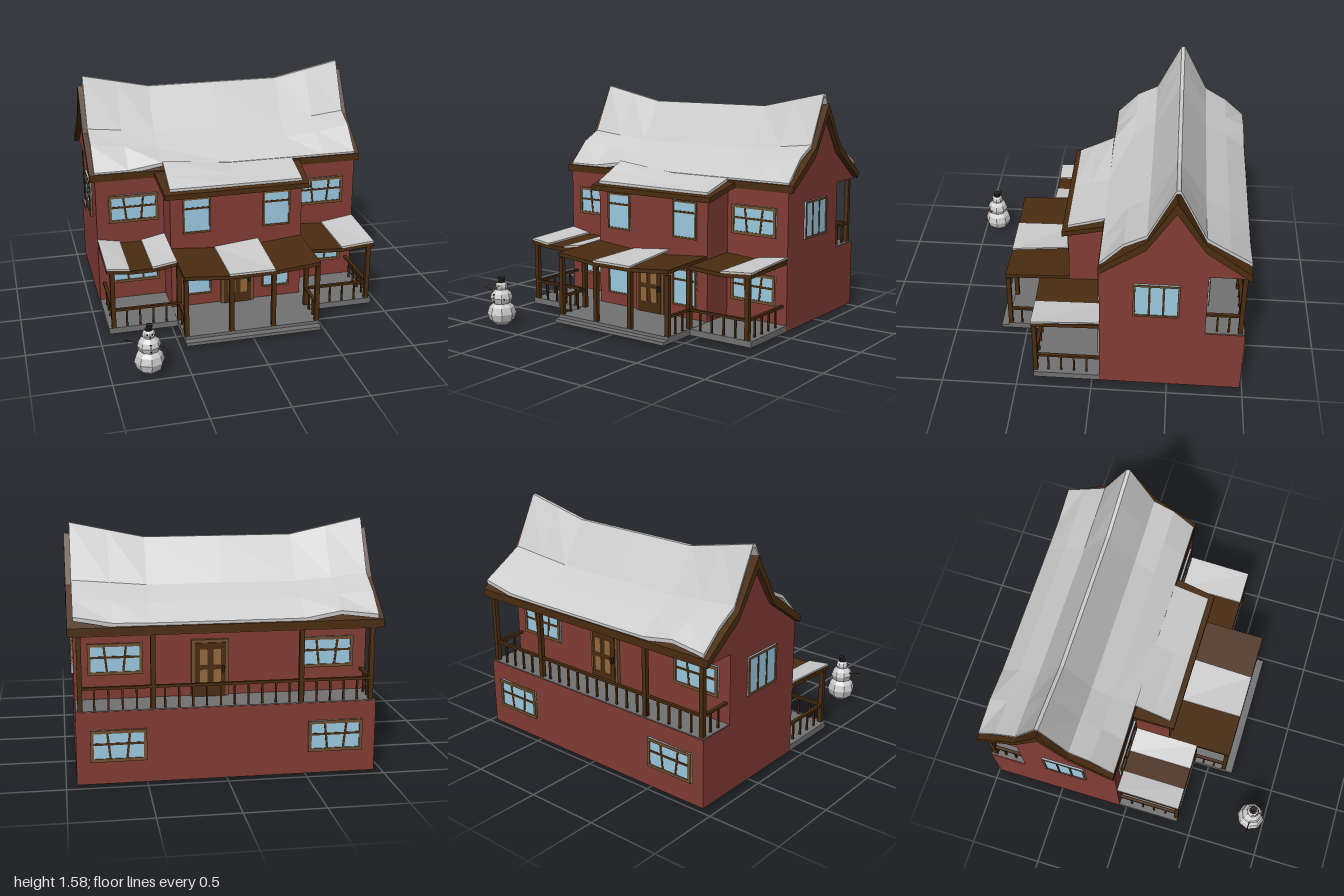
import * as THREE from 'three';

const RED = 0x823c34, BROWN = 0x4a2c10, FRAME = 0x705030, TAN = 0x94683c, GLASS = 0x9ccae2, STONE = 0x727272, SNOW = 0xcccccc, BLACK = 0x2a2522;
const mats = {};
const mat = c => mats[c] ??= new THREE.MeshStandardMaterial({ color: c, flatShading: true });

function add(parent, name, geo, color, x = 0, y = 0, z = 0) {
  const m = new THREE.Mesh(geo, mat(color));
  m.name = name;
  m.position.set(x, y, z);
  parent.add(m);
  return m;
}

// box given by its limits
function box(parent, name, color, x0, x1, y0, y1, z0, z1) {
  return add(parent, name, new THREE.BoxGeometry(x1 - x0, y1 - y0, z1 - z0), color, (x0 + x1) / 2, (y0 + y1) / 2, (z0 + z1) / 2);
}

// (z, y) profile extruded along x from x0 to x1
function profile(parent, name, color, pts, x0, x1) {
  const shape = new THREE.Shape(pts.map(p => new THREE.Vector2(...p)));
  const geo = new THREE.ExtrudeGeometry(shape, { depth: x1 - x0, bevelEnabled: false });
  return add(parent, name, geo.rotateY(-Math.PI / 2), color, x1);
}

// closed slab over a grid: f(i, j) gives the top point, t(j) the vertical thickness
function slab(parent, name, color, nx, nz, f, t) {
  const pos = [], idx = [], n = (nx + 1) * (nz + 1), at = (i, j) => j * (nx + 1) + i;
  for (const k of [0, 1]) for (let j = 0; j <= nz; j++) for (let i = 0; i <= nx; i++) {
    const [x, y, z] = f(i, j);
    pos.push(x, y - k * t(j), z);
  }
  const quad = (a, b, c, d) => idx.push(a, b, c, a, c, d);
  const side = (a, b) => quad(a, b, b + n, a + n);
  for (let j = 0; j < nz; j++) for (let i = 0; i < nx; i++) {
    const a = at(i, j), b = at(i, j + 1), c = at(i + 1, j + 1), d = at(i + 1, j);
    quad(a, b, c, d);
    quad(d + n, c + n, b + n, a + n);
    if (j === 0) side(a, d);
    if (j === nz - 1) side(c, b);
    if (i === 0) side(b, a);
    if (i === nx - 1) side(d, c);
  }
  const geo = new THREE.BufferGeometry();
  geo.setAttribute('position', new THREE.Float32BufferAttribute(pos, 3));
  geo.setIndex(idx);
  geo.computeVertexNormals();
  return add(parent, name, geo, color);
}

// framed window facing +z; cols = [x, lean] bars, rows = bar heights
function windowUnit(parent, name, w, h, f, cols, rows, x, y, z, turn = 0) {
  const g = new THREE.Group();
  g.name = name;
  box(g, 'glass', GLASS, -w / 2, w / 2, -h / 2, h / 2, -0.005, 0.005);
  for (const s of [-1, 1]) {
    add(g, 'frameSide', new THREE.BoxGeometry(f, h, 0.024), FRAME, s * (w - f) / 2);
    add(g, 'frameRail', new THREE.BoxGeometry(w - 2 * f, f, 0.024), FRAME, 0, s * (h - f) / 2);
  }
  for (const [cx, lean] of cols) add(g, 'mullion', new THREE.BoxGeometry(0.014, h - f, 0.016), BROWN, cx).rotation.z = lean;
  for (const ry of rows) add(g, 'crossbar', new THREE.BoxGeometry(w - f, 0.014, 0.016), BROWN, 0, ry);
  g.position.set(x, y, z);
  g.rotation.y = turn;
  parent.add(g);
}

// panelled door facing +z
function door(parent, name, x, y, z, turn) {
  const g = new THREE.Group();
  g.name = name;
  box(g, 'doorFrame', FRAME, -0.118, 0.118, 0, 0.37, -0.01, 0.025);
  box(g, 'doorLeaf', BROWN, -0.098, 0.098, 0, 0.35, 0, 0.032);
  for (const s of [-1, 1]) for (const py of [0.13, 0.26])
    add(g, 'doorPanel', new THREE.BoxGeometry(0.048, 0.1, 0.01), TAN, s * 0.043, py, 0.033);
  box(g, 'handle', BLACK, 0.074, 0.09, 0.16, 0.2, 0.03, 0.05);
  g.position.set(x, y, z);
  g.rotation.y = turn;
  parent.add(g);
}

// straight railing between two (x, z) points
function railing(parent, name, x0, z0, x1, z1, y, h) {
  const g = new THREE.Group(), len = Math.hypot(x1 - x0, z1 - z0), n = Math.round(len / 0.085);
  g.name = name;
  add(g, 'handrail', new THREE.BoxGeometry(len, 0.016, 0.022), BROWN, len / 2, h);
  for (let i = 1; i < n; i++) add(g, 'baluster', new THREE.BoxGeometry(0.012, h, 0.012), BROWN, len * i / n, h / 2);
  g.position.set(x0, y, z0);
  g.rotation.y = -Math.atan2(z1 - z0, x1 - x0);
  parent.add(g);
}

const post = (parent, x, z, y0, y1) => box(parent, 'post', BROWN, x - 0.015, x + 0.015, y0, y1, z - 0.015, z + 0.015);

export function createModel() {
  const house = new THREE.Group();
  house.name = 'snowyHouse';

  // walls with the recessed rear balcony, gable ends and front bay
  profile(house, 'walls', RED, [[-0.05, 0.02], [-0.05, 0.96], [-0.985, 0.96], [-0.985, 0.945], [-0.73, 0.945], [-0.73, 0.48], [-0.985, 0.48], [-0.985, 0.02]], -0.935, 0.935);
  const gable = [[-0.05, 0.955], [-0.34, 1.17], [-0.515, 1.455], [-0.7, 1.17], [-0.985, 0.955]];
  profile(house, 'leftGable', RED, gable, 0.905, 0.935);
  profile(house, 'rightGable', RED, gable, -0.935, -0.905);
  profile(house, 'frontBay', RED, [[-0.06, 0.02], [-0.06, 0.965], [0.19, 0.9], [0.19, 0.02]], -0.465, 0.465);
  box(house, 'balconyFloor', STONE, -0.93, 0.93, 0.475, 0.484, -0.98, -0.73);

  // swaybacked main roof and its snow
  const edge = x => Math.max(0, (Math.abs(x) - 0.47) / 0.465);
  const rx = [-0.97, -0.47, 0, 0.47, 0.97], rz = [-0.99, -0.7, -0.515, -0.34, -0.045];
  const ry = [1, 1.215, 1.51, 1.215, 1], rt = [0.05, 0.06, 0.08, 0.06, 0.05];
  slab(house, 'mainRoof', BROWN, 4, 4, (i, j) => [rx[i], ry[j] - (i % 4 ? 0.09 * (ry[j] - 1) / 0.51 : 0), rz[j]], j => rt[j]);
  const sx = [-0.935, -0.7, -0.47, 0, 0.47, 0.7, 0.935], sz = [-0.985, -0.85, -0.7, -0.53, -0.505, -0.34, -0.2, -0.05];
  const sEnd = [1.03, 1.15, 1.24, 1.575, 1.575, 1.24, 1.17, 1.015], sMid = [1.02, 1.12, 1.2, 1.475, 1.475, 1.19, 1.11, 1.015];
  const drift = { '6,0': 0.04, '1,0': 0.035, '2,7': 0.035 };
  slab(house, 'mainRoofSnow', SNOW, 6, 7, (i, j) =>
    [sx[i], THREE.MathUtils.lerp(sMid[j], sEnd[j], edge(sx[i])) + (drift[i + ',' + j] ?? 0), sz[j]], () => 0.025);

  // bay roof and its snow
  slab(house, 'bayRoof', BROWN, 1, 1, (i, j) => [(i * 2 - 1) * (j ? 0.505 : 0.525), j ? 0.915 : 0.99, j ? 0.23 : -0.05], () => 0.036);
  const bay = [[1.065, 1.012, 1.012], [1.0, 0.975, 0.975], [0.945, 0.942, 0.942]];
  slab(house, 'bayRoofSnow', SNOW, 2, 2, (i, j) => [(i - 1) * 0.465, bay[j][i], [-0.05, 0.08, 0.195][j]], () => 0.02);

  // porch floors and step
  box(house, 'centrePorchFloor', STONE, -0.465, 0.465, 0.02, 0.064, 0.19, 0.63);
  box(house, 'porchStep', STONE, -0.465, 0.465, 0.02, 0.043, 0.63, 0.68);
  for (const s of [-1, 1]) add(house, 'sidePorchFloor', new THREE.BoxGeometry(0.47, 0.042, 0.44), STONE, s * 0.7, 0.041, 0.17);

  // sagging porch roofs with snow patches between columns a and b
  const porch = (name, xs, ys, z0, z1, patches) => {
    slab(house, name, BROWN, xs.length - 1, 1, (i, j) => [xs[i], ys[i] + (j ? 0 : 0.012), j ? z1 : z0], () => 0.026);
    for (const [a, liftA, liftB] of patches)
      slab(house, name + 'Snow', SNOW, 1, 1, (i, j) => [xs[a + i], ys[a + i] + (j ? 0.012 : i ? liftB : liftA), j ? z1 : z0], () => 0.012);
  };
  porch('rightPorchRoof', [-0.935, -0.78, -0.63, -0.465], [0.492, 0.473, 0.473, 0.498], -0.05, 0.395, [[0, 0.035, 0.025], [2, 0.02, 0.03]]);
  porch('centrePorchRoof', [-0.465, -0.16, 0.153, 0.465], [0.5, 0.473, 0.473, 0.502], 0.19, 0.63, [[1, 0.02, 0.052]]);
  porch('leftPorchRoof', [0.465, 0.7, 0.935], [0.487, 0.473, 0.492], -0.05, 0.395, [[1, 0.02, 0.035]]);

  for (const s of [-1, 1]) {
    // porch posts and railings
    for (const [x, z] of [[0.9, 0.378], [0.45, 0.378], [0.45, 0.613], [0.145, 0.613]]) post(house, s * x, z, 0.06, 0.465);
    railing(house, 'porchFrontRailing', s * 0.45, 0.378, s * 0.9, 0.378, 0.06, 0.13);
    railing(house, 'porchSideRailing', s * 0.9, -0.05, s * 0.9, 0.378, 0.06, 0.13);
    railing(house, 'porchInnerRailing', s * 0.45, 0.378, s * 0.45, 0.613, 0.06, 0.13);

    // balcony posts and side railing
    for (const x of [0.905, 0.46]) post(house, s * x, -0.955, 0.48, 0.96);
    railing(house, 'balconySideRailing', s * 0.905, -0.73, s * 0.905, -0.955, 0.48, 0.14);

    // windows on every wall
    const cols = [[-0.06, 0.11], [0.06, -0.11]];
    for (const [y, z, turn] of [[0.742, -0.05, 0], [0.285, -0.05, 0], [0.742, -0.73, Math.PI], [0.265, -0.985, Math.PI]])
      windowUnit(house, 'wideWindow', 0.345, 0.2, 0.02, cols, [0.012], s * 0.677, y, z + (turn ? -0.004 : 0.004), turn);
    for (const y of [0.742, 0.275])
      windowUnit(house, 'bayWindow', 0.195, 0.256, 0.012, [], [0.052], s * 0.282, y, 0.194);
    windowUnit(house, 'gableWindow', 0.295, 0.256, 0.014, [[-0.045, 0], [0.045, 0]], [], s * 0.939, 0.74, -0.412, s * Math.PI / 2);
  }
  railing(house, 'balconyRailing', -0.905, -0.955, 0.905, -0.955, 0.48, 0.14);
  door(house, 'frontDoor', 0, 0.06, 0.19, 0);
  door(house, 'balconyDoor', 0.08, 0.48, -0.73, Math.PI);

  // snowman: three faceted balls, hat, nose, eyes, buttons and twig arms
  const man = new THREE.Group();
  man.name = 'snowman';
  man.position.set(-0.75, 0, 0.9);
  for (const [r, y, h] of [[0.098, 0.09, 0.09], [0.076, 0.198, 0.064], [0.043, 0.273, 0.038]])
    add(man, 'snowBall', new THREE.SphereGeometry(r, 8, 6).scale(1, h / r, 1), SNOW, 0, y);
  add(man, 'hatBrim', new THREE.CylinderGeometry(0.026, 0.026, 0.006, 8), BLACK, 0, 0.306);
  add(man, 'hat', new THREE.CylinderGeometry(0.022, 0.018, 0.032, 8), BLACK, 0.004, 0.322).rotation.z = -0.1;
  add(man, 'nose', new THREE.ConeGeometry(0.008, 0.04, 6).rotateX(Math.PI / 2), 0xd07a28, 0, 0.272, 0.055);
  for (const s of [-1, 1]) add(man, 'eye', new THREE.SphereGeometry(0.005, 6, 4), BLACK, s * 0.016, 0.284, 0.037);
  for (const y of [0.18, 0.205, 0.228]) add(man, 'button', new THREE.SphereGeometry(0.006, 6, 4), BLACK, 0, y, 0.07);
  const twig = pts => add(man, 'twigArm', new THREE.TubeGeometry(new THREE.CatmullRomCurve3(pts.map(p => new THREE.Vector3(...p))), 3, 0.004, 5), BROWN);
  twig([[-0.05, 0.215, 0], [-0.1, 0.228, -0.005], [-0.155, 0.248, -0.005]]);
  twig([[0.04, 0.205, 0.03], [0.07, 0.195, 0.04], [0.09, 0.2, 0.055]]);
  house.add(man);

  return house;
}
